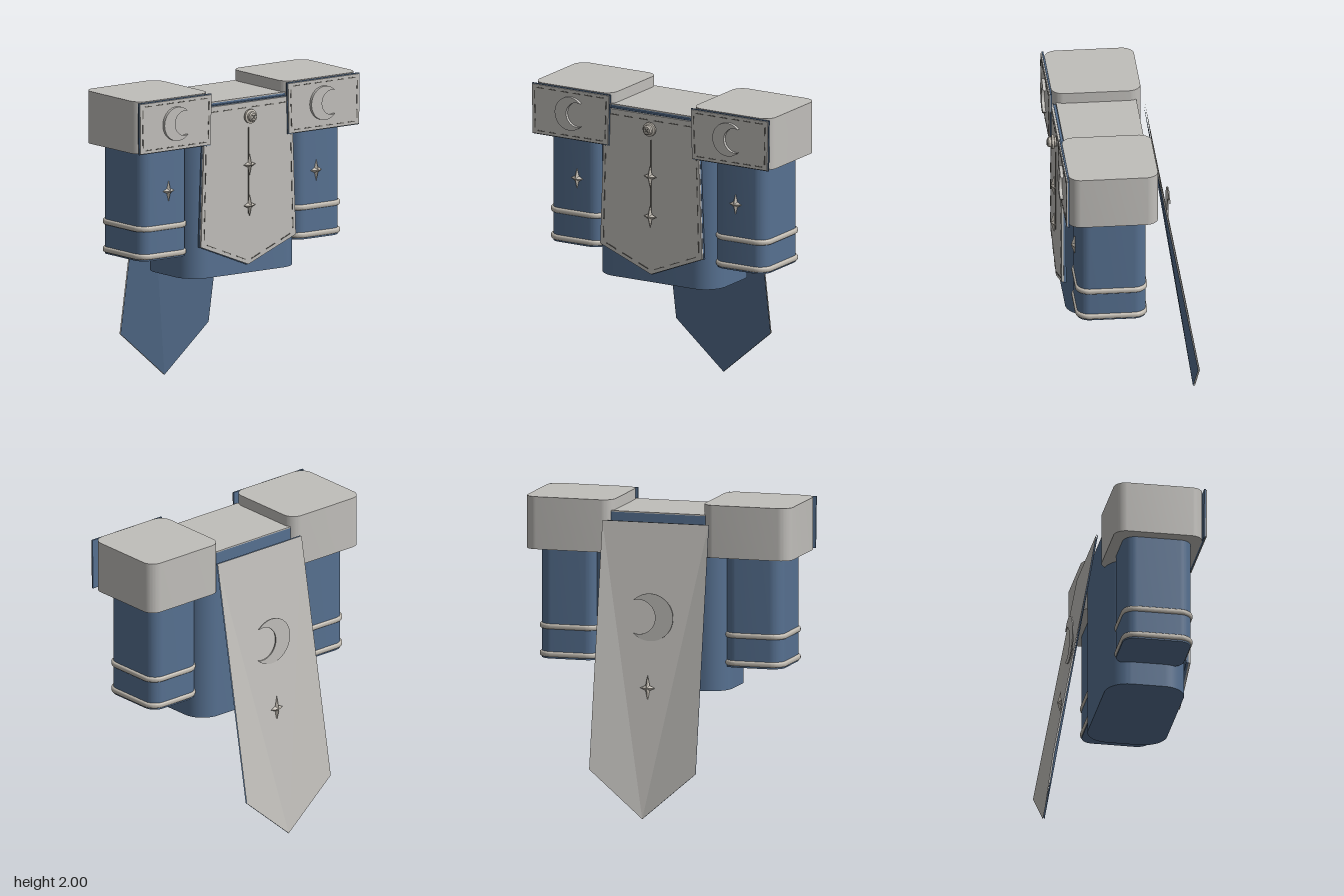
import * as THREE from 'three';
import { toCreasedNormals } from 'three/addons/utils/BufferGeometryUtils.js';

const material = (name, color, side = THREE.FrontSide) => {
  const m = new THREE.MeshStandardMaterial({ color, side });
  m.name = name;
  return m;
};

export function createModel() {
  const root = new THREE.Group();
  root.name = 'armouredTunic';
  const blue = material('blueCloth', 0x567090, THREE.DoubleSide);
  const grey = material('paleGrey', 0xc0beba, THREE.DoubleSide);
  const trim = material('warmGreyTrim', 0xc2bcb2, THREE.DoubleSide);
  const dark = material('darkThread', 0x66645f);

  const add = (name, geometry, mat, parent = root) => {
    const mesh = new THREE.Mesh(geometry, mat);
    mesh.name = name;
    parent.add(mesh);
    return mesh;
  };

  // Upright block with a rounded rectangular footprint
  function roundedColumn(x0, x1, z0, z1, y0, y1, r, bevel = 0) {
    const s = new THREE.Shape();
    const a = x0 + bevel, b = x1 - bevel, c = -z1 + bevel, d = -z0 - bevel;
    s.absarc(b - r, c + r, r, -Math.PI / 2, 0);
    s.absarc(b - r, d - r, r, 0, Math.PI / 2);
    s.absarc(a + r, d - r, r, Math.PI / 2, Math.PI);
    s.absarc(a + r, c + r, r, Math.PI, Math.PI * 1.5);
    const g = new THREE.ExtrudeGeometry(s, {
      depth: y1 - y0 - 2 * bevel, curveSegments: 8, bevelEnabled: bevel > 0,
      bevelSize: bevel, bevelThickness: bevel, bevelSegments: 3,
    });
    g.rotateX(-Math.PI / 2).translate(0, y0 + bevel, 0);
    return toCreasedNormals(g, 0.6);
  }

  // Flat plate facing +z
  function plate(points, z, depth) {
    const s = new THREE.Shape(points.map(([x, y]) => new THREE.Vector2(x, y)));
    return new THREE.ExtrudeGeometry(s, { depth, bevelEnabled: false }).translate(0, 0, z);
  }

  // Row of thin dashes along a path
  function stitches(points, z, parent, pitch = 0.095) {
    for (let i = 0; i < points.length - 1; i++) {
      const [ax, ay] = points[i], [bx, by] = points[i + 1];
      const length = Math.hypot(bx - ax, by - ay);
      const n = Math.max(1, Math.round(length / pitch));
      for (let k = 0; k < n; k++) {
        const t = (k + 0.5) / n;
        const dash = add('stitch', new THREE.BoxGeometry(length / n * 0.6, 0.006, 0.005), dark, parent);
        dash.position.set(ax + (bx - ax) * t, ay + (by - ay) * t, z);
        dash.rotation.z = Math.atan2(by - ay, bx - ax);
      }
    }
  }

  // Four-pointed star with a raised centre
  function star(name, x, y, z, height = 0.07, width = 0.045) {
    const rim = [], v = [];
    for (let i = 0; i < 8; i++) {
      const a = i * Math.PI / 4;
      const rx = i % 2 ? 0.02 : width, ry = i % 2 ? 0.024 : height;
      rim.push([Math.cos(a) * rx, Math.sin(a) * ry, 0]);
    }
    for (let i = 0; i < 8; i++) {
      v.push(...rim[i], ...rim[(i + 1) % 8], 0, 0, 0.024);
    }
    const g = new THREE.BufferGeometry();
    g.setAttribute('position', new THREE.Float32BufferAttribute(v, 3));
    g.computeVertexNormals();
    const mesh = add(name, g, trim);
    mesh.position.set(x, y, z);
    return mesh;
  }

  // Crescent opening towards +x
  function crescent(name, x, y, z, scale, depth) {
    const s = new THREE.Shape();
    const a = Math.atan2(0.0765, 0.079), b = Math.atan2(0.0765, 0.024);
    s.absarc(0, 0, 0.11, a, 2 * Math.PI - a, false);
    s.absarc(0.055, 0, 0.08, 2 * Math.PI - b, b, true);
    const g = new THREE.ExtrudeGeometry(s, { depth, bevelEnabled: false, curveSegments: 28 });
    g.scale(scale, scale, 1);
    add(name, toCreasedNormals(g, 0.6), grey).position.set(x, y, z);
  }

  // Torso
  add('torso', roundedColumn(-0.45, 0.45, -0.13, 0.385, 0.79, 1.922, 0.15), blue);
  add('torsoTop', roundedColumn(-0.45, 0.45, -0.13, 0.385, 1.922, 1.93, 0.15), grey);

  // Sleeves, cuffs and shoulder blocks
  for (const side of [-1, 1]) {
    const label = side > 0 ? 'left' : 'right';
    const span = (a, b) => (side > 0 ? [a, b] : [-b, -a]);
    add(label + 'Sleeve', roundedColumn(...span(0.425, 0.81), -0.09, 0.35, 0.945, 1.68, 0.08), blue);
    for (const y of [0.955, 1.135]) {
      add(label + 'CuffBand', roundedColumn(...span(0.415, 0.825), -0.1, 0.362, y, y + 0.035, 0.08, 0.012), trim);
    }
    add(label + 'ShoulderBlock', roundedColumn(...span(0.30, 0.888), -0.162, 0.412, 1.66, 2, 0.08), grey);

    // Stitched front panel with blue backing
    const panel = new THREE.Group();
    panel.name = label + 'ShoulderPanel';
    root.add(panel);
    const rect = (i) => {
      const p = [[0.312 + i, 1.66 + i], [0.885 - i, 1.66 + i], [0.89 - i, 1.995 - i], [0.303 + i, 1.995 - i]];
      return p.map(([x, y]) => [x * side, y]);
    };
    add('panelBacking', plate(rect(0), 0.412, 0.01), blue, panel);
    add('panelFace', plate(rect(0.005), 0.422, 0.008), grey, panel);
    const seam = rect(0.025);
    stitches([...seam, seam[0]], 0.431, panel);
    crescent(label + 'Crescent', side * 0.592, 1.835, 0.43, 1, 0.02);
    star(label + 'SleeveStar', side * 0.595, 1.385, 0.351);
  }

  // Front tabard
  const tabard = new THREE.Group();
  tabard.name = 'tabard';
  root.add(tabard);
  add('tabardLining', plate([[-0.35, 1.91], [-0.385, 1.0], [0, 0.845], [0.385, 1.0], [0.35, 1.91]], 0.385, 0.016), blue, tabard);
  add('tabardFace', plate([[-0.35, 1.905], [-0.382, 1.002], [0, 0.85], [0.382, 1.002], [0.35, 1.905]], 0.401, 0.014), grey, tabard);
  stitches([[-0.335, 1.87], [-0.358, 1.02], [0, 0.875], [0.358, 1.02], [0.335, 1.87], [-0.335, 1.87]], 0.416, tabard, 0.12);

  // Button, cord and hanging stars
  add('cord', new THREE.BoxGeometry(0.005, 0.56, 0.006), dark).position.set(0, 1.46, 0.418);
  for (const y of [1.5, 1.235]) star('tabardStar', 0, y, 0.426, 0.075, 0.048);
  const profile = [[0, 0], [0.03, 0], [0.03, 0.012], [0.046, 0.016], [0.046, 0.03], [0.032, 0.034], [0.032, 0.05], [0.024, 0.058], [0, 0.06]];
  const button = new THREE.LatheGeometry(profile.map(([r, h]) => new THREE.Vector2(r, h)), 28);
  button.rotateX(Math.PI / 2);
  add('button', toCreasedNormals(button, 0.5), trim).position.set(0, 1.815, 0.413);
  for (const turn of [1, -1]) {
    const slot = add('buttonSlot', new THREE.BoxGeometry(0.034, 0.008, 0.004), dark);
    slot.position.set(0, 1.815, 0.473);
    slot.rotation.z = turn * Math.PI / 4;
  }

  // Pointed cape: two folded sheets, blue inside and grey outside
  function capeSheet(z) {
    const w = 0.355;
    const tl = [-w, 1.875, -0.18 + z], tr = [w, 1.875, -0.18 + z];
    const bl = [-w, 0.305, -0.465 + z], br = [w, 0.305, -0.465 + z], tip = [0, 0, -0.465 + z];
    const g = new THREE.BufferGeometry();
    g.setAttribute('position', new THREE.Float32BufferAttribute(
      [tl, tip, tr, tl, bl, tip, tr, tip, br].flat(), 3));
    g.computeVertexNormals();
    return g;
  }
  add('capeLining', capeSheet(0), blue);
  add('capeOuter', capeSheet(-0.01), grey);
  crescent('capeCrescent', 0, 1.28, -0.31, 1.4, 0.008);
  star('capeStar', 0, 0.83, -0.358, 0.085, 0.05).rotation.y = Math.PI;

  return root;
}
